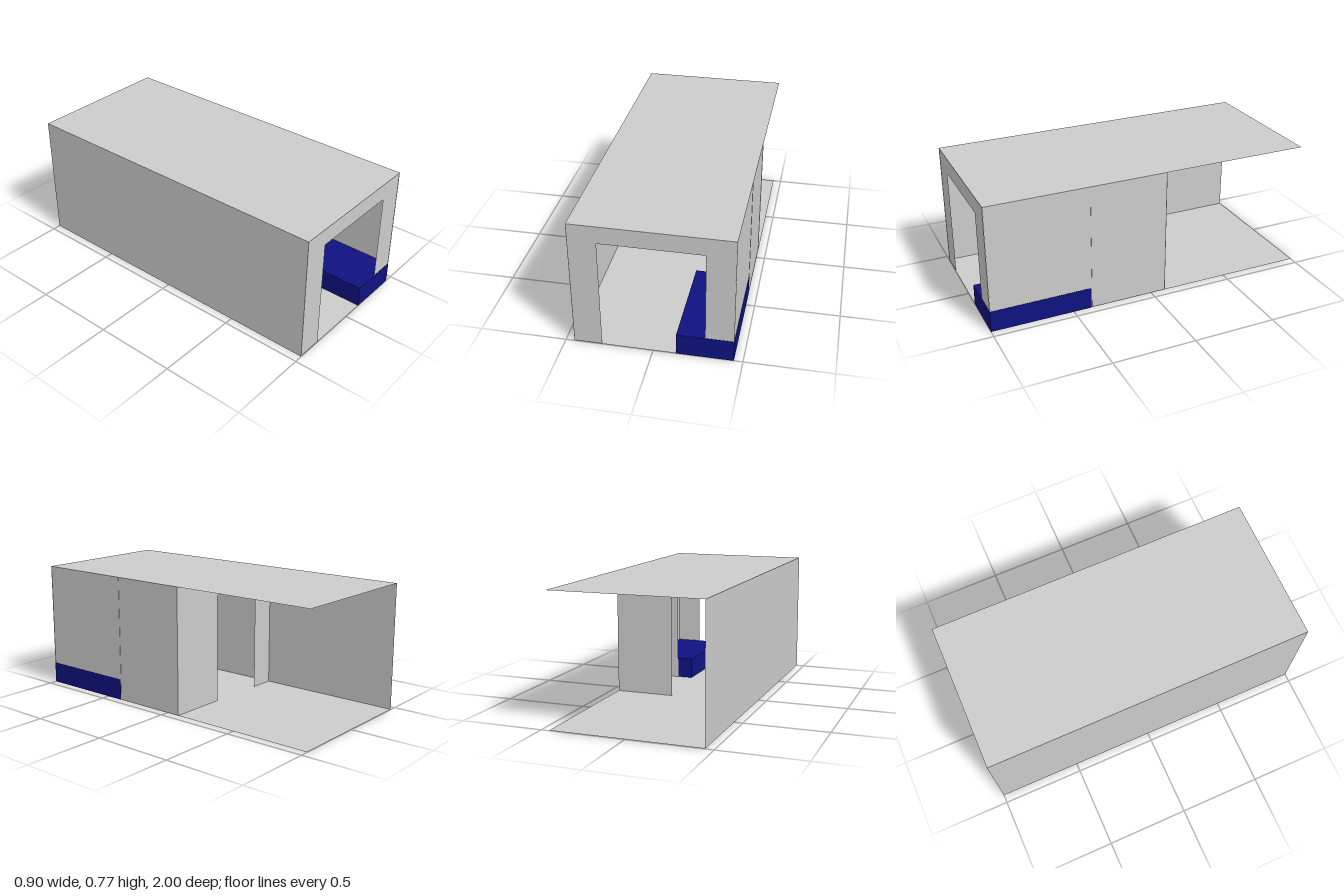
import * as THREE from 'three';

const W = 0.45, H = 0.775, E = 0.002; // half width, height, small gap to keep faces from coinciding
const MID = -0.09;                    // z of the partition

export function createModel() {
  const group = new THREE.Group();
  const grey = new THREE.MeshStandardMaterial({ color: 0xcccccc, side: THREE.DoubleSide });
  const blue = new THREE.MeshStandardMaterial({ color: 0x0f1280 });

  const add = (name, geometry, material = grey) => {
    const mesh = new THREE.Mesh(geometry, material);
    mesh.name = name;
    group.add(mesh);
    return mesh;
  };

  // Horizontal sheet spanning the whole plan
  const slab = (name, y) =>
    add(name, new THREE.PlaneGeometry(2 * W, 2).rotateX(-Math.PI / 2).translate(0, y, 0));

  // Side sheet between two depths
  const sideWall = (name, x, z0, z1) =>
    add(name, new THREE.PlaneGeometry(z1 - z0, H).rotateY(Math.PI / 2).translate(x, H / 2, (z0 + z1) / 2));

  // Cross wall with a doorway that reaches the floor
  const doorWall = (name, z, left, right, top) => {
    const shape = new THREE.Shape([
      [-W, 0], [left, 0], [left, top], [right, top], [right, 0], [W, 0], [W, H], [-W, H],
    ].map(([x, y]) => new THREE.Vector2(x, y)));
    add(name, new THREE.ShapeGeometry(shape).translate(0, 0, z));
  };

  slab('floor', E);
  slab('roof', H);
  sideWall('rightHandFullWall', -W, -1, 1);
  sideWall('leftHandHalfWall', W - E, MID, 1);
  doorWall('frontWall', 1 - E, -0.29, 0.29, 0.67);
  doorWall('partition', MID, -0.29, 0.085, 0.668);

  // Short screen at the end of the bench
  add('screen', new THREE.PlaneGeometry(W - 0.225, H).translate((W + 0.225) / 2, H / 2, 0.385));

  // Low bench in the front corner
  add('bench', new THREE.BoxGeometry(0.32, 0.13, 0.61).translate(0.29, 0.065, 0.695), blue);

  return group;
}
